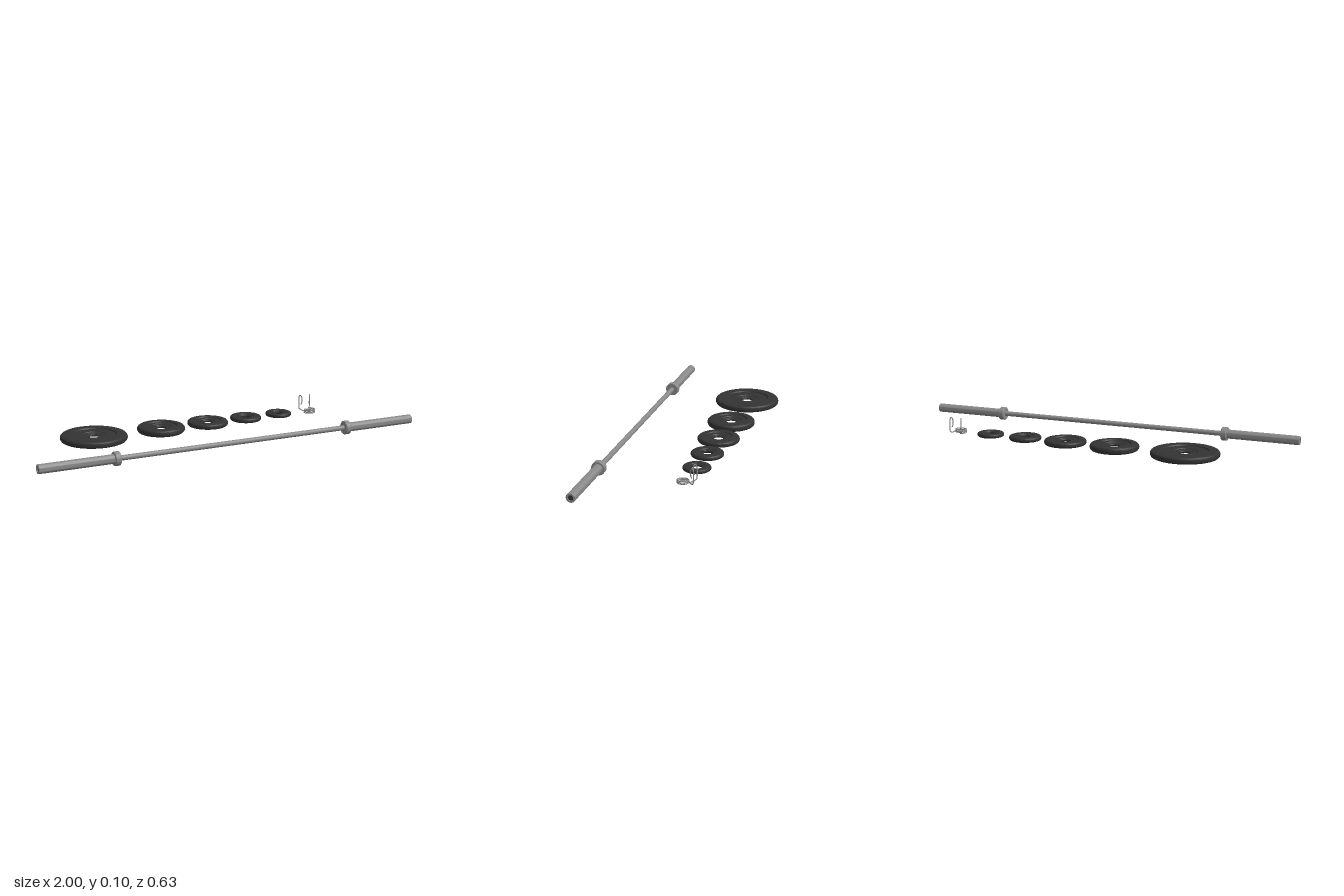
import * as THREE from 'three';
import { toCreasedNormals } from 'three/addons/utils/BufferGeometryUtils.js';

const steel = new THREE.MeshStandardMaterial({ color: 0x8a8a8a });
steel.name = 'steel';
const iron = new THREE.MeshStandardMaterial({ color: 0x333333 });
iron.name = 'black iron';

const V = (x, y, z) => new THREE.Vector3(x, y, z);

function add(parent, name, geometry, material) {
  const mesh = new THREE.Mesh(geometry, material);
  mesh.name = name;
  parent.add(mesh);
  return mesh;
}

// Revolved profile of [radius, height] pairs with sharp edges kept
function lathe(points, segments) {
  const profile = points.map(([r, y]) => new THREE.Vector2(r, y));
  return toCreasedNormals(new THREE.LatheGeometry(profile, segments), 0.5);
}

// Weight plate: rounded rim, stepped faces on both sides, centre hole
function plateGeometry(radius, half, steps) {
  const hole = 0.026;
  const round = half * 0.9;
  const top = [];
  for (let i = 0; i <= 6; i++) {
    const a = (i / 6) * Math.PI / 2;
    top.push([radius - round + round * Math.cos(a), half * Math.sin(a)]);
  }
  let level = half;
  for (const [r, share] of steps) {
    top.push([r, level]);
    level = half * share;
    top.push([r - 0.003, level]);
  }
  top.push([hole + 0.003, level], [hole, level - 0.003]);
  const bottom = top.slice(1).reverse().map(([r, y]) => [r, -y]);
  return lathe([...top, ...bottom, top[0]], 64);
}

function createBar() {
  const bar = new THREE.Group();
  bar.name = 'barbell';
  const shaft = add(bar, 'shaft', new THREE.CylinderGeometry(0.0125, 0.0125, 1.24, 24, 1, true), steel);
  shaft.rotation.z = Math.PI / 2;

  // Collar and hollow-ended sleeve, from the shaft outwards
  const sleeve = lathe([
    [0.012, 0.603], [0.031, 0.603], [0.034, 0.606], [0.034, 0.629], [0.031, 0.632],
    [0.0225, 0.632], [0.0225, 0.998], [0.0205, 1.0], [0.013, 1.0], [0.013, 0.98],
  ], 40);
  for (const side of [-1, 1]) {
    const end = new THREE.Group();
    end.name = side > 0 ? 'leftEnd' : 'rightEnd';
    end.rotation.z = -side * Math.PI / 2;
    add(end, 'sleeve', sleeve, steel);
    const core = add(end, 'sleeveCore', new THREE.CylinderGeometry(0.0128, 0.0128, 0.01, 24), iron);
    core.position.y = 0.99;
    bar.add(end);
  }
  bar.position.set(0, 0.035, 0.28);
  return bar;
}

// Spring clip: one wire running handle, coil, handle
function createClip() {
  const handle = (side) => [
    V(side * 0.025, 0.050, -0.047), V(side * 0.0225, 0.060, -0.042),
    V(side * 0.0225, 0.072, -0.041), V(side * 0.024, 0.090, -0.043),
    V(side * 0.0275, 0.0975, -0.049), V(side * 0.031, 0.091, -0.055),
    V(side * 0.032, 0.070, -0.057), V(side * 0.032, 0.045, -0.057),
    V(side * 0.031, 0.028, -0.055), V(side * 0.026, 0.022, -0.048),
  ];
  const coil = [];
  const start = -0.42, finish = 0.42 - Math.PI * 6, count = 48;
  for (let i = 0; i <= count; i++) {
    const t = i / count, a = start + (finish - start) * t;
    coil.push(V(0.027 * Math.sin(a), 0.013 + 0.019 * t, -0.027 * Math.cos(a)));
  }
  const path = new THREE.CatmullRomCurve3([...handle(-1), ...coil, ...handle(1).reverse()]);
  const clip = new THREE.Group();
  clip.name = 'springClip';
  add(clip, 'clipWire', new THREE.TubeGeometry(path, 420, 0.0027, 8), steel);
  // Rounded wire ends
  for (const side of [-1, 1]) {
    const tip = add(clip, 'wireTip', new THREE.SphereGeometry(0.0027, 8, 6), steel);
    tip.position.copy(handle(side)[0]);
  }
  clip.position.set(0.648, 0, -0.131);
  return clip;
}

export function createModel() {
  const model = new THREE.Group();
  model.name = 'barbellSet';
  model.add(createBar());

  // Plates from heaviest to lightest; steps are [radius, height share]
  const plates = [
    [-0.56, 0.166, 0.0165, [[0.112, 0.65], [0.062, 0.45], [0.042, 0.3]]],
    [-0.2, 0.12, 0.017, [[0.08, 0.65], [0.056, 0.45], [0.04, 0.3]]],
    [0.06, 0.104, 0.0135, [[0.068, 0.65], [0.042, 0.4]]],
    [0.278, 0.08, 0.0115, [[0.042, 0.65]]],
    [0.47, 0.067, 0.01, [[0.038, 0.65]]],
  ];
  plates.forEach(([x, radius, half, steps], i) => {
    const plate = add(model, 'weightPlate' + (i + 1), plateGeometry(radius, half, steps), iron);
    plate.position.set(x, 0.024, -0.148);
  });

  model.add(createClip());
  return model;
}
